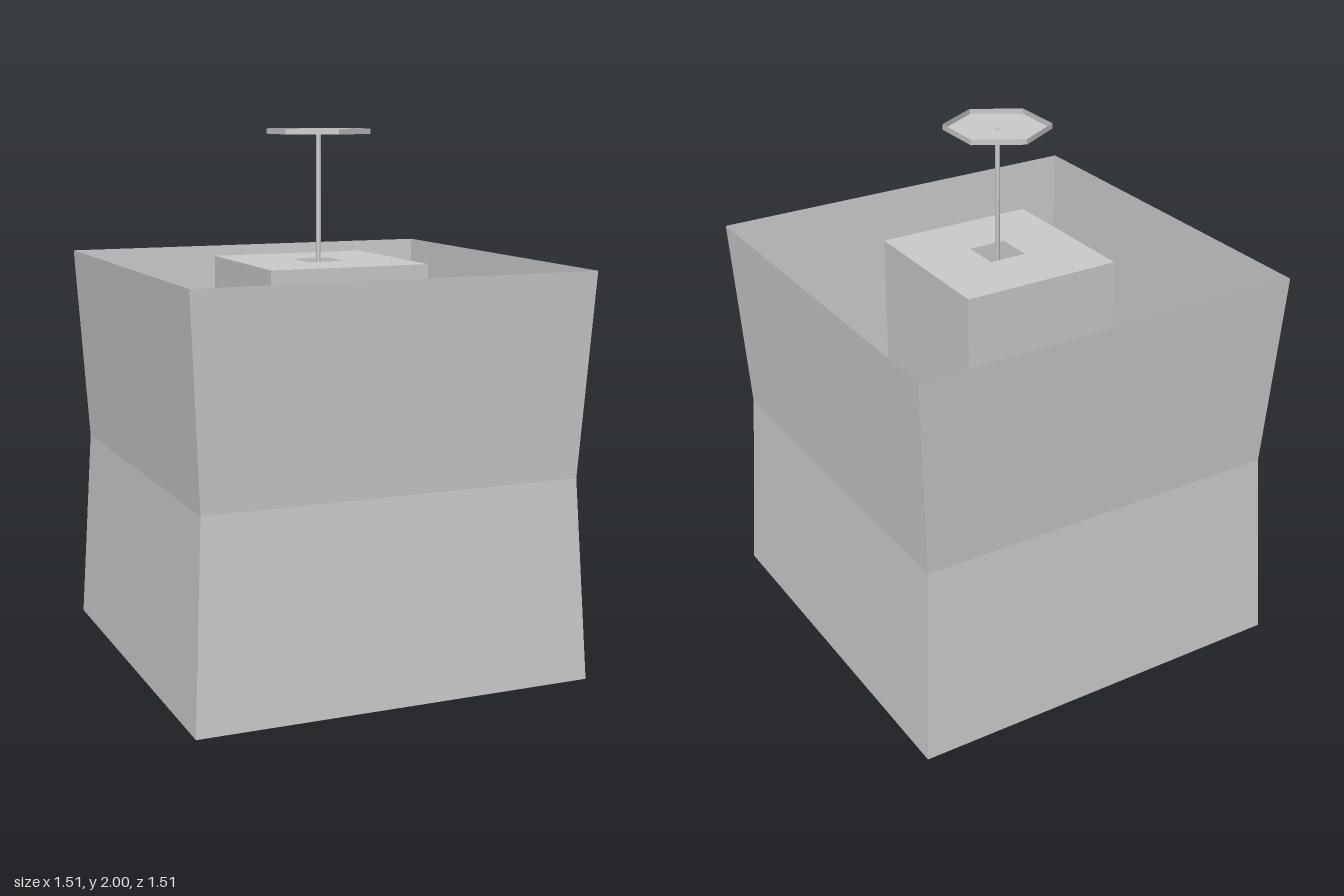
import * as THREE from 'three';

const material = new THREE.MeshStandardMaterial({
  color: 0xcccccc, flatShading: true, side: THREE.DoubleSide,
});

// Thin faceted sheet swept around y from [radius, height] pairs
function sheet(name, profile, sides, start = 0) {
  const points = profile.map(([r, y]) => new THREE.Vector2(r, y));
  const mesh = new THREE.Mesh(new THREE.LatheGeometry(points, sides, start), material);
  mesh.name = name;
  return mesh;
}

// Square sheet given by half widths instead of corner radii
const squareSheet = (name, profile) =>
  sheet(name, profile.map(([w, y]) => [w * Math.SQRT2, y]), 4, Math.PI / 4);

export function createModel() {
  const model = new THREE.Group();
  model.name = 'pinchedBoxWithPost';

  const outer = 0.755, waist = 0.715, inner = 0.308, hole = 0.073;
  const rim = 1.51, trayFloor = 1.98, rod = 0.009;

  model.add(
    // Open-topped outer walls, pinched at mid height
    squareSheet('outerWalls', [[outer, 0], [waist, rim / 2], [outer, rim]]),
    // Floor with a square opening under the hollow column
    squareSheet('floor', [[inner, 0], [outer, 0]]),
    squareSheet('column', [[inner, 0], [inner, rim]]),
    squareSheet('columnTop', [[inner, rim], [hole, rim]]),
    // Hollow rod rising through the column's hole
    sheet('rod', [[rod, 1.3], [rod, trayFloor]], 6),
    // Shallow open hexagonal tray on the rod
    sheet('tray', [[rod, trayFloor], [0.195, trayFloor], [0.195, 2]], 6),
  );
  return model;
}
